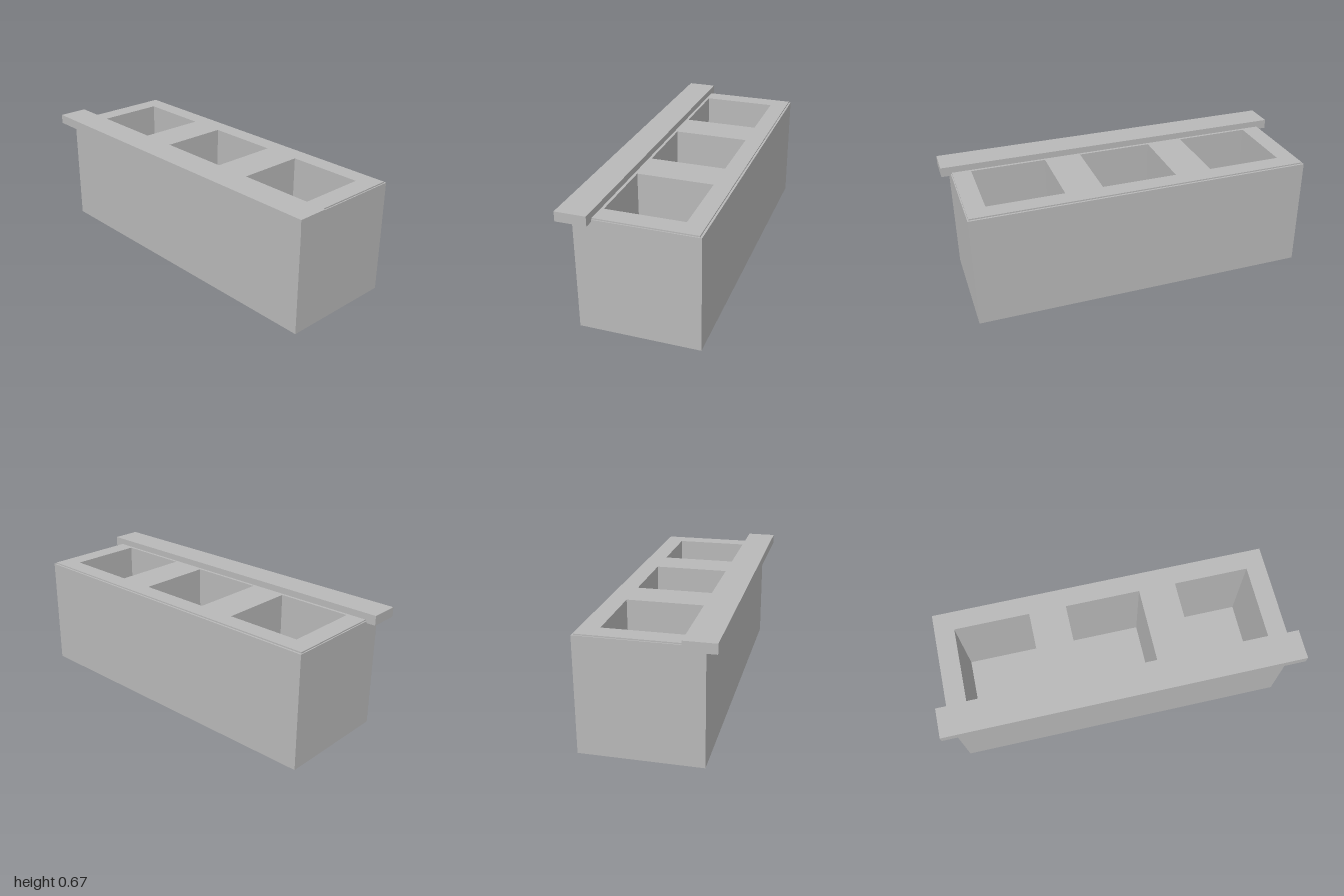
import * as THREE from 'three';

const stone = new THREE.MeshStandardMaterial({ color: 0xb8b8b8 });
stone.name = 'light grey';

// Rectangle path in plan; z is negated because the shape is later laid flat
function rectangle(path, x0, x1, z0, z1) {
  path.moveTo(x0, -z1);
  path.lineTo(x1, -z1);
  path.lineTo(x1, -z0);
  path.lineTo(x0, -z0);
  path.closePath();
  return path;
}

// Flat slab between y0 and y1, optionally pierced by the three square bins
function slab(name, [x0, x1], [y0, y1], [z0, z1], pierced) {
  const shape = rectangle(new THREE.Shape(), x0, x1, z0, z1);
  if (pierced) {
    for (const cx of [-0.628, 0, 0.628]) {
      shape.holes.push(rectangle(new THREE.Path(), cx - 0.21, cx + 0.21, -0.247, 0.175));
    }
  }
  const geometry = new THREE.ExtrudeGeometry(shape, { depth: y1 - y0, bevelEnabled: false });
  geometry.rotateX(-Math.PI / 2).translate(0, y0, 0);
  const mesh = new THREE.Mesh(geometry, stone);
  mesh.name = name;
  return mesh;
}

export function createModel() {
  const model = new THREE.Group();
  model.name = 'counterWithBins';
  const floorTop = 0.1;
  model.add(
    // Solid base closing the bins
    slab('base', [-0.948, 0.948], [0, floorTop], [-0.357, 0.293], false),
    // Body around the three bins
    slab('body', [-0.948, 0.948], [floorTop, 0.63], [-0.357, 0.293], true),
    // Thin inset worktop with matching openings
    slab('worktop', [-0.942, 0.942], [0.63, 0.637], [-0.346, 0.191], true),
    // Overhanging front ledge
    slab('frontLedge', [-1, 1], [0.62, 0.673], [0.191, 0.357], false)
  );
  return model;
}
